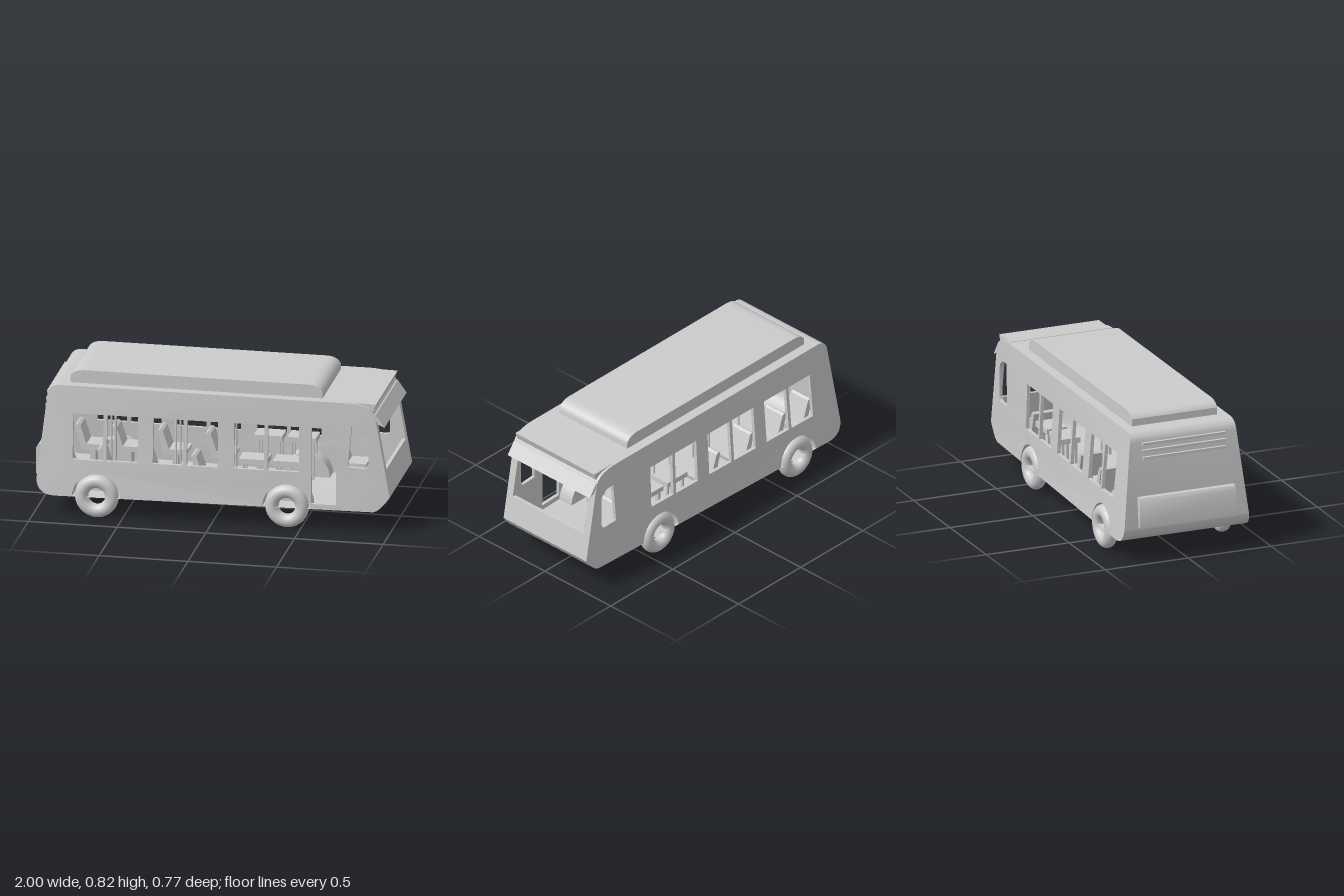
import * as THREE from 'three';
import { toCreasedNormals } from 'three/addons/utils/BufferGeometryUtils.js';

const grey = new THREE.MeshStandardMaterial({ color: 0xcccccc, side: THREE.DoubleSide });
const WHEELS = [{ x: -0.645, z: 0.346 }, { x: 0.42, z: 0.307 }];
const ARCH = 0.135, FLOOR = 0.12, ROOF = 0.745;

// Half width of the body: constant at the roof, flaring toward the rear bottom
const halfWidth = (x, y) => 0.315 + 0.07 * ((ROOF - y) / 0.625) * ((1 - x) / 1.98);
const frontX = (y) => 1 - 0.08 * (y - 0.21) / 0.45;
const rearX = (y) => -0.98 + 0.05 * (y - 0.21) / 0.47;

function add(parent, name, geometry, x = 0, y = 0, z = 0) {
  const mesh = new THREE.Mesh(geometry, grey);
  mesh.name = name;
  mesh.position.set(x, y, z);
  parent.add(mesh);
  return mesh;
}

const box = (w, h, d) => new THREE.BoxGeometry(w, h, d);

// Side profile extruded across the bus, centred on z = 0
function prism(points, half) {
  const shape = points instanceof THREE.Shape ? points
    : new THREE.Shape(points.map(([x, y]) => new THREE.Vector2(x, y)));
  const g = new THREE.ExtrudeGeometry(shape, { depth: half * 2, bevelEnabled: false, curveSegments: 8 });
  g.translate(0, 0, -half);
  return toCreasedNormals(g, 0.6);
}

function rectHole(x0, y0, x1, y1) {
  return new THREE.Path().moveTo(x0, y0).lineTo(x1, y0).lineTo(x1, y1).lineTo(x0, y1).closePath();
}

// Outline from the top of the windscreen, over the roof and under the floor to the nose
function outline(withArches) {
  const s = new THREE.Shape();
  s.moveTo(0.92, 0.66);
  s.quadraticCurveTo(0.91, ROOF, 0.76, ROOF);
  s.lineTo(-0.86, ROOF);
  s.quadraticCurveTo(-0.925, ROOF, -0.93, 0.68);
  s.lineTo(-0.98, 0.21);
  s.quadraticCurveTo(-0.975, FLOOR, -0.87, FLOOR);
  if (withArches) {
    for (const { x } of WHEELS) {
      s.lineTo(x - ARCH, FLOOR);
      s.absarc(x, FLOOR, ARCH, Math.PI, 0, true);
    }
  }
  s.lineTo(0.9, FLOOR);
  s.quadraticCurveTo(0.94, FLOOR, 1, 0.21);
  return s;
}

// Side wall with window openings, bent to follow the body flare
function sideWall(hasDoor) {
  const s = outline(true);
  for (const x of [-0.78, -0.33, 0.125]) {
    s.holes.push(rectHole(x, 0.33, x + 0.17, 0.59), rectHole(x + 0.19, 0.33, x + 0.365, 0.59));
  }
  if (hasDoor) s.holes.push(rectHole(0.56, 0.15, 0.7, 0.59));
  const cab = new THREE.Path().moveTo(0.765, 0.375).lineTo(0.785, 0.615).lineTo(0.815, 0.615);
  cab.quadraticCurveTo(0.88, 0.61, 0.88, 0.54);
  cab.lineTo(0.88, 0.4).quadraticCurveTo(0.88, 0.37, 0.85, 0.37);
  s.holes.push(cab);
  const g = new THREE.ExtrudeGeometry(s, { depth: 0.02, bevelEnabled: false, curveSegments: 10 });
  const p = g.attributes.position;
  for (let i = 0; i < p.count; i++) {
    p.setZ(i, halfWidth(p.getX(i), p.getY(i)) - 0.02 + p.getZ(i));
  }
  return toCreasedNormals(g, 0.6);
}

// Roof, rear, floor and nose as one strip between the side walls
function shell() {
  const pos = [], index = [];
  outline(false).getPoints(10).forEach(({ x, y }, i) => {
    const w = halfWidth(x, y);
    pos.push(x, y, w, x, y, -w);
    if (i > 0) index.push(2 * i - 2, 2 * i - 1, 2 * i, 2 * i, 2 * i - 1, 2 * i + 1);
  });
  const g = new THREE.BufferGeometry();
  g.setAttribute('position', new THREE.Float32BufferAttribute(pos, 3));
  g.setIndex(index);
  return toCreasedNormals(g, 0.6);
}

// Sloping front panel with the windscreen opening
function frontPanel() {
  const w = halfWidth(1, 0.2);
  const s = new THREE.Shape([[-w, 0.21], [w, 0.21], [w, 0.66], [-w, 0.66]].map(([a, b]) => new THREE.Vector2(a, b)));
  s.holes.push(rectHole(-0.27, 0.36, 0.27, 0.635));
  const g = new THREE.ExtrudeGeometry(s, { depth: 0.02, bevelEnabled: false });
  g.rotateY(Math.PI / 2);
  const p = g.attributes.position;
  for (let i = 0; i < p.count; i++) p.setX(i, frontX(p.getY(i)) - 0.02 + p.getX(i));
  g.computeVertexNormals();
  return g;
}

// Forward-facing seat with a leaning back and a pedestal
function seat(parent, name, x, z) {
  const g = new THREE.Group();
  g.name = name;
  g.position.set(x, 0, z);
  add(g, 'seatBody', prism([[0.02, 0.22], [0.15, 0.23], [0.155, 0.255], [0.05, 0.255],
    [0.015, 0.36], [0, 0.37], [-0.015, 0.36]], 0.065));
  add(g, 'seatPedestal', box(0.03, 0.1, 0.08), 0.08, 0.17, 0);
  parent.add(g);
}

// Raised bench pad on four legs
function bench(parent, x, z) {
  const g = new THREE.Group();
  g.name = 'bench';
  g.position.set(x, 0, z);
  add(g, 'benchPad', box(0.16, 0.03, 0.12), 0, 0.352, 0);
  for (const sx of [-1, 1]) for (const sz of [-1, 1]) {
    add(g, 'benchLeg', box(0.014, 0.22, 0.014), sx * 0.06, 0.23, sz * 0.04);
  }
  parent.add(g);
}

export function createModel() {
  const bus = new THREE.Group();
  bus.name = 'bus';

  // Body
  add(bus, 'bodyShell', shell());
  add(bus, 'frontPanel', frontPanel());
  add(bus, 'doorSideWall', sideWall(true));
  add(bus, 'plainSideWall', sideWall(false)).scale.z = -1;

  // Roof unit, roof lip and windscreen visor
  const roofUnit = new THREE.Shape().moveTo(-0.81, 0.74);
  roofUnit.lineTo(-0.81, 0.785).quadraticCurveTo(-0.79, 0.82, -0.73, 0.82);
  roofUnit.lineTo(0.53, 0.82).quadraticCurveTo(0.59, 0.82, 0.61, 0.78);
  roofUnit.lineTo(0.61, 0.74);
  add(bus, 'roofUnit', prism(roofUnit, 0.257));
  add(bus, 'roofLip', prism([[0.76, 0.735], [0.905, 0.7], [0.92, 0.743], [0.76, 0.747]], 0.3));
  add(bus, 'visor', prism([[0.905, 0.69], [0.92, 0.685], [0.97, 0.615], [0.935, 0.63]], 0.312));

  // Rear engine cover and vent slats
  add(bus, 'engineCover', prism([[-0.97, 0.21], [-1, 0.21], [-1, 0.36], [-0.985, 0.382], [-0.955, 0.385]], 0.29));
  for (const y of [0.6, 0.64, 0.68]) {
    add(bus, 'ventSlat', box(0.025, 0.014, 0.5), rearX(y) - 0.003, y, 0);
  }

  // Wheels with arch liners
  for (const { x, z } of WHEELS) for (const side of [-1, 1]) {
    add(bus, 'wheel', new THREE.TorusGeometry(0.085, 0.038, 20, 40), x, 0.123, side * z);
    const outer = halfWidth(x, 0.2);
    const liner = new THREE.CylinderGeometry(ARCH, ARCH, 0.11, 24, 1, true, 0, Math.PI);
    liner.rotateX(Math.PI / 2).rotateZ(Math.PI / 2);
    add(bus, 'archLiner', liner, x, FLOOR, side * (outer - 0.06));
    add(bus, 'archBack', new THREE.CircleGeometry(ARCH, 24, 0, Math.PI), x, FLOOR, side * (outer - 0.115));
  }

  // Seats and benches on both sides of the aisle
  for (const side of [-1, 1]) {
    for (const x of [-0.85, -0.645, -0.385, -0.115]) seat(bus, 'passengerSeat', x, side * 0.2);
    for (const x of [0.22, 0.41]) bench(bus, x, side * 0.21);
  }
  seat(bus, 'driverSeat', 0.63, -0.16);

  // Grab poles and overhead rails
  for (const side of [-1, 1]) {
    add(bus, 'grabRail', box(0.68, 0.01, 0.01), -0.28, 0.517, side * 0.06);
    for (const x of [-0.62, -0.255, 0.06]) {
      const pole = new THREE.CylinderGeometry(0.006, 0.006, ROOF - FLOOR, 8);
      add(bus, 'grabPole', pole, x, (ROOF + FLOOR) / 2, side * 0.06);
    }
  }
  return bus;
}
